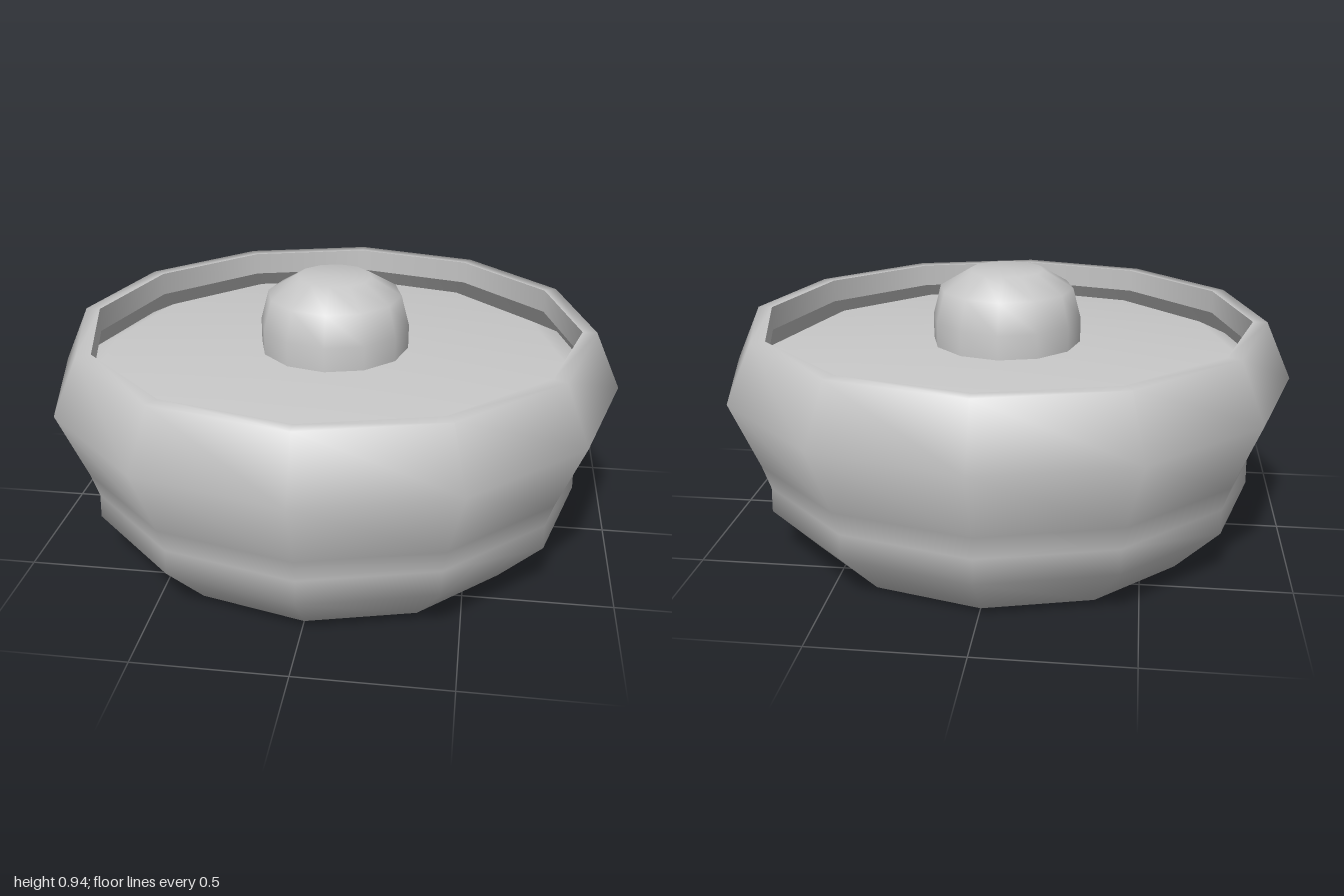
import * as THREE from 'three';

const SIDES = 12;

export function createModel() {
  const group = new THREE.Group();
  const grey = new THREE.MeshStandardMaterial({ color: 0xc8c8c8 });
  grey.name = 'plain grey';

  // Turns a [radius, height] profile into a smooth twelve-sided part
  function turned(name, profile) {
    const points = profile.map(([r, y]) => new THREE.Vector2(r, y));
    const mesh = new THREE.Mesh(new THREE.LatheGeometry(points, SIDES), grey);
    mesh.name = name;
    group.add(mesh);
  }

  // Closed base, slight waist, wide shoulder and flat rim
  turned('bowl', [
    [0, 0], [0.715, 0], [0.876, 0.17], [0.874, 0.255],
    [0.902, 0.34], [1, 0.575], [0.91, 0.775], [0.86, 0.775],
  ]);

  // Inside face of the rim, then the undercut beneath it
  turned('innerLip', [[0.86, 0.775], [0.862, 0.69]]);
  turned('undercut', [[0.862, 0.69], [0.93, 0.6]]);

  // Nearly flat sunken lid that falls away at its edge
  turned('lid', [[0.93, 0.6], [0.81, 0.66], [0.26, 0.685], [0, 0.69]]);

  // Rounded knob in the middle of the lid
  turned('knob', [
    [0.262, 0.67], [0.263, 0.77], [0.235, 0.877], [0.13, 0.94], [0, 0.94],
  ]);

  return group;
}
